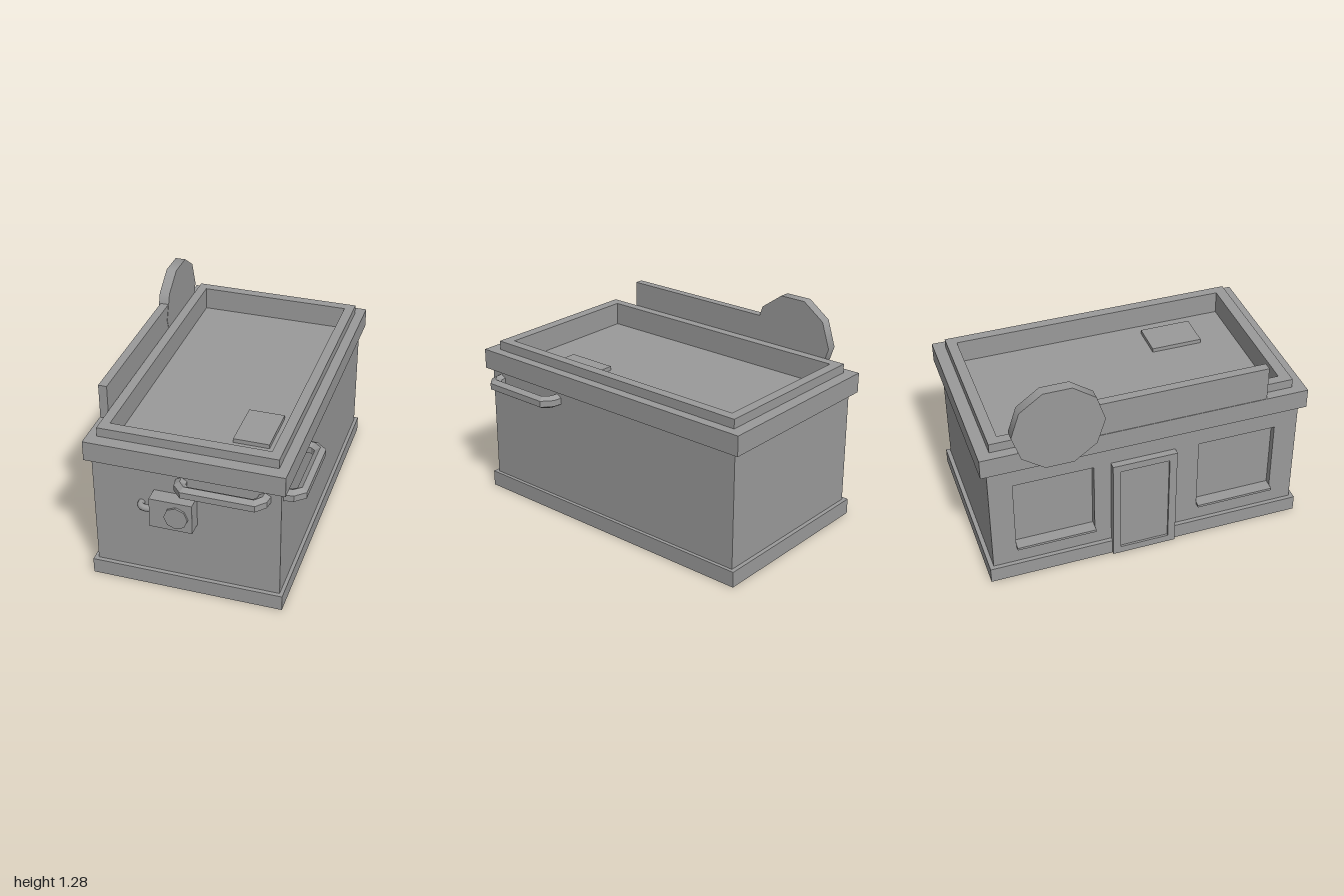
import * as THREE from 'three';

const COLOR = 0x9a9a9a;
const mat = new THREE.MeshStandardMaterial({ color: COLOR, flatShading: true });
const thin = new THREE.MeshStandardMaterial({ color: COLOR, flatShading: true, side: THREE.DoubleSide });
const smooth = new THREE.MeshStandardMaterial({ color: COLOR });

// Main extents [x0, x1, z0, z1]
const WALL = [-0.58, 0.503, -0.96, 0.89];
const INNER = [-0.502, 0.418, -0.87, 0.785];
const FLOOR = 0.83;

function outline(P, a0, a1, b0, b1) {
  const p = new P();
  p.moveTo(a0, b0);
  p.lineTo(a1, b0);
  p.lineTo(a1, b1);
  p.lineTo(a0, b1);
  p.closePath();
  return p;
}

// Horizontal rectangular ring between heights y0 and y1
function ring(outer, inner, y0, y1) {
  const s = outline(THREE.Shape, outer[0], outer[1], -outer[3], -outer[2]);
  s.holes.push(outline(THREE.Path, inner[0], inner[1], -inner[3], -inner[2]));
  const g = new THREE.ExtrudeGeometry(s, { depth: y1 - y0, bevelEnabled: false });
  return g.rotateX(-Math.PI / 2).translate(0, y0, 0);
}

function box(x0, x1, y0, y1, z0, z1) {
  return new THREE.BoxGeometry(x1 - x0, y1 - y0, z1 - z0)
    .translate((x0 + x1) / 2, (y0 + y1) / 2, (z0 + z1) / 2);
}

// Box without some faces (0..5 = +x, -x, +y, -y, +z, -z)
function openBox(missing, ...size) {
  const g = box(...size);
  g.setIndex([...g.index.array].filter((v, i) => !missing.includes(Math.floor(i / 6))));
  g.clearGroups();
  return g;
}

// Straight-sided path with mitred corners for bars and pipes
class BentPath extends THREE.Curve {
  constructor(points) {
    super();
    this.pts = points.map((p) => new THREE.Vector3(...p));
  }
  at(u) { return Math.round(u * (this.pts.length - 1)); }
  getPoint(u) { return this.pts[this.at(u)].clone(); }
  getPointAt(u) { return this.getPoint(u); }
  getTangentAt(u) {
    const i = this.at(u), p = this.pts, t = new THREE.Vector3();
    if (i > 0) t.add(p[i].clone().sub(p[i - 1]).normalize());
    if (i < p.length - 1) t.add(p[i + 1].clone().sub(p[i]).normalize());
    return t.normalize();
  }
}

function bentTube(points, radius, sides) {
  return new THREE.TubeGeometry(new BentPath(points), points.length - 1, radius, sides, false);
}

// Wall bar: a runs along the wall, d is the distance from the centre plane
function barPoints(a0, a1, wall, out, place) {
  const mid = wall + (out - wall) * 0.5;
  return [[a0, wall - 0.005], [a0 + 0.005, mid], [a0 + 0.04, out],
    [a1 - 0.04, out], [a1 - 0.005, mid], [a1, wall - 0.005]].map(([a, d]) => place(a, d));
}

export function createModel() {
  const model = new THREE.Group();
  const add = (name, geometry, material = mat) => {
    const m = new THREE.Mesh(geometry, material);
    m.name = name;
    model.add(m);
    return m;
  };

  // Hollow body, open below; its top is the sunken roof floor
  add('walls', openBox([1, 3], WALL[0], WALL[1], 0, FLOOR, WALL[2], WALL[3]), thin);

  // Shop front with two window openings
  const windows = [[-0.82, -0.35], [0.28, 0.75]];
  const winBottom = 0.22, winTop = 0.665;
  const front = outline(THREE.Shape, WALL[2], WALL[3], 0, FLOOR);
  for (const [a, b] of windows) front.holes.push(outline(THREE.Path, a, b, winBottom, winTop));
  add('shopFront', new THREE.ShapeGeometry(front).rotateY(-Math.PI / 2).translate(WALL[0], 0, 0), thin);
  for (const [a, b] of windows) {
    add('windowNiche', openBox([1], -0.58, -0.54, winBottom, winTop, a, b), thin);
    add('windowSill', box(-0.613, -0.575, 0.205, 0.22, a, b));
  }

  // Door frame and inset panel
  const frame = outline(THREE.Shape, -0.25, 0.135, 0, 0.67);
  frame.holes.push(outline(THREE.Path, -0.205, 0.09, 0.045, 0.625));
  add('doorFrame', new THREE.ExtrudeGeometry(frame, { depth: 0.04, bevelEnabled: false })
    .rotateY(-Math.PI / 2).translate(-0.58, 0, 0));
  add('doorPanel', box(-0.607, -0.58, 0.01, 0.64, -0.23, 0.115));

  // Plinth, cornice and parapet
  add('plinth', ring([-0.605, 0.524, -0.985, 0.915], WALL, 0, 0.095));
  add('cornice', ring([-0.613, 0.533, -1, 0.925], WALL, 0.795, 0.915));
  add('parapetBase', ring(WALL, INNER, FLOOR, 0.915));
  add('parapet', ring([-0.557, 0.476, -0.93, 0.85], INNER, 0.915, 0.97));
  add('roofHatch', box(0.133, 0.343, FLOOR, FLOOR + 0.025, 0.26, 0.57));

  // Long sign board and ten-sided sign with a soft rim
  add('signBoard', box(-0.61, -0.56, 0.915, 1.125, -0.5, 0.67));
  add('roundSign', new THREE.CylinderGeometry(0.265, 0.265, 0.062, 10)
    .rotateZ(Math.PI / 2).translate(-0.589, 1.03, -0.555), smooth);

  // Six-sided wall bars
  const barY = 0.733;
  add('frontBar', bentTube(barPoints(-0.06, 0.412, 0.89, 0.967, (a, d) => [a, barY, d]), 0.038, 6), thin);
  add('sideBar', bentTube(barPoints(0.348, 0.822, 0.503, 0.587, (a, d) => [d, barY, a]), 0.038, 6), thin);

  // Meter box with dial and rounded pipe
  add('meterBox', box(-0.22, 0.027, 0.47, 0.655, 0.88, 0.977));
  add('meterDial', new THREE.CylinderGeometry(0.069, 0.069, 0.02, 8)
    .rotateX(Math.PI / 2).translate(-0.064, 0.56, 0.979));
  add('meterPipe', bentTube([[-0.296, 0.555, 0.885], [-0.294, 0.555, 0.915], [-0.28, 0.555, 0.931],
    [-0.26, 0.555, 0.935], [-0.215, 0.555, 0.935]], 0.02, 10), smooth);

  return model;
}
